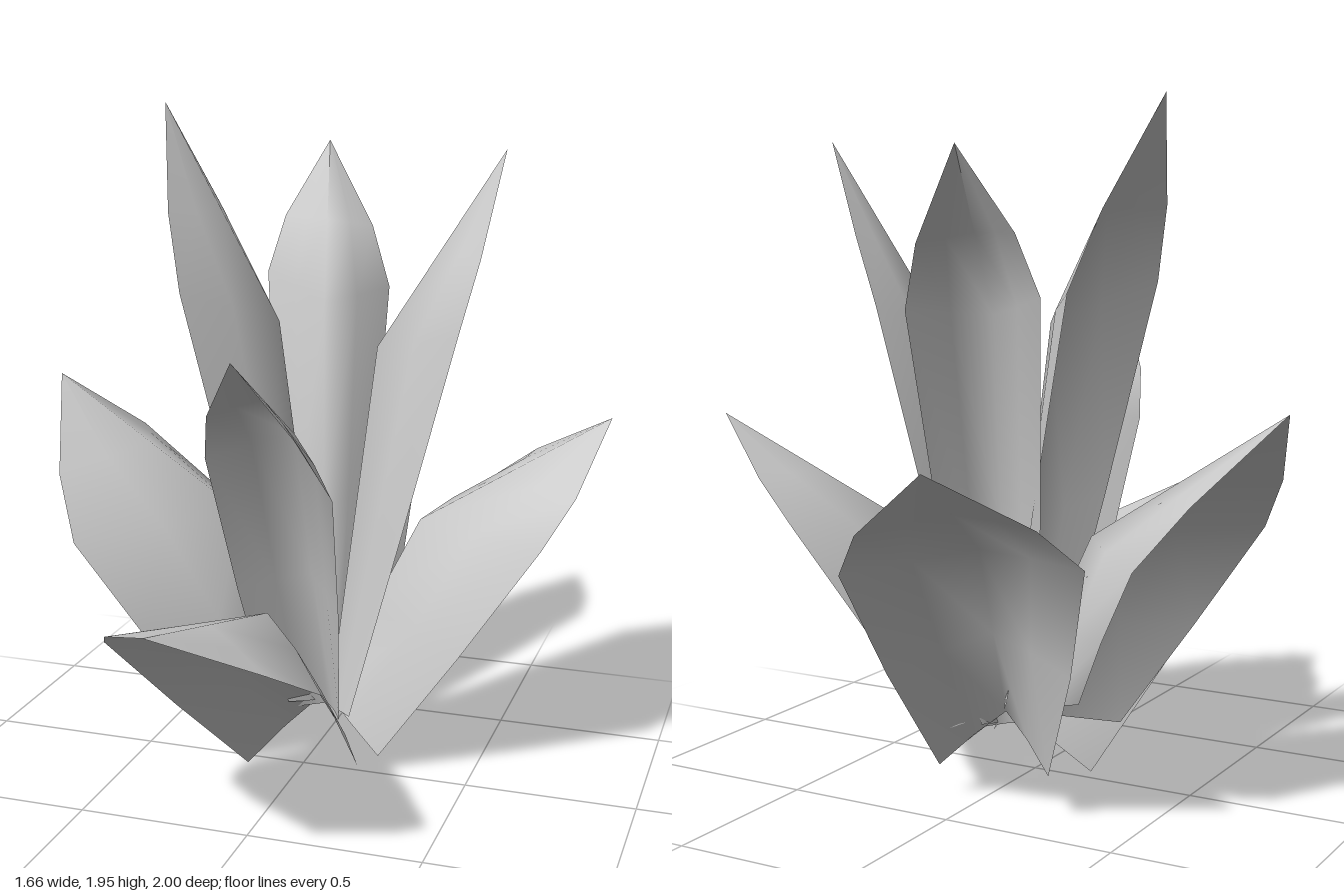
import * as THREE from 'three';

const V = (p) => new THREE.Vector3(...p);
const mix = (a, b, t) => a.clone().lerp(b, t);
const ACROSS = 4;

// A leaf is a folded blade, lofted from rows of [edge, ridge, edge] points
function leafGeometry(tipPoint, cornerA, cornerB, ridgePoint, baseA, baseB, root) {
  const [tip, ca, cb, ridge, ba, bb, rt] =
    [tipPoint, cornerA, cornerB, ridgePoint, baseA, baseB, root].map(V);
  const half = ca.clone().sub(cb).multiplyScalar(0.5);
  const swell = (p, k) => p.addScaledVector(half, k);

  const rows = [
    [ba, rt, bb],
    [swell(mix(ba, ca, 0.5), 0.04), mix(rt, ridge, 0.5), swell(mix(bb, cb, 0.5), -0.04)],
    [ca, ridge, cb],
    [swell(mix(ca, tip, 0.42), 0.14), mix(ridge, tip, 0.5), swell(mix(cb, tip, 0.42), -0.14)],
    [tip, tip, tip],
  ];

  const positions = [];
  const index = [];
  rows.forEach(([a, r, b], i) => {
    const lift = r.clone().sub(mix(a, b, 0.5));
    for (let j = 0; j <= ACROSS; j++) {
      const u = (2 * j) / ACROSS - 1;
      const p = mix(a, b, j / ACROSS).addScaledVector(lift, 1 - Math.abs(u) ** 1.15);
      positions.push(p.x, p.y, p.z);
      if (i === 0 || j === ACROSS) continue;
      const q = i * (ACROSS + 1) + j;
      const o = q - ACROSS - 1;
      index.push(o, o + 1, q);
      if (i < rows.length - 1) index.push(o + 1, q + 1, q);
    }
  });

  const g = new THREE.BufferGeometry();
  g.setAttribute('position', new THREE.Float32BufferAttribute(positions, 3));
  g.setIndex(index);
  g.computeVertexNormals();
  return g;
}

// Per leaf: tip, two widest corners, ridge, two base corners, root of the ridge
const LEAVES = {
  outerFrontLeaf: [[-0.08, 0.75, 1], [-0.36, 0.57, 0.62], [0.28, 0.53, 0.7],
    [0, 0.59, 0.32], [-0.16, 0, 0.05], [0.2, 0.06, 0.1], [0.03, 0.19, -0.08]],
  outerLeftLeaf: [[0.83, 1.05, -0.37], [0.7, 0.74, 0], [0.43, 0.78, -0.59],
    [0.3, 0.74, -0.2], [0.23, 0.05, -0.01], [0.11, 0.19, -0.35], [0.04, 0.2, -0.1]],
  outerBackLeaf: [[-0.25, 1.04, -1], [0.13, 0.72, -0.8], [-0.5, 0.77, -0.65],
    [-0.06, 0.74, -0.42], [0.12, 0.09, -0.34], [-0.24, 0.12, -0.36], [0.03, 0.2, -0.12]],
  outerRightLeaf: [[-0.83, 1.12, -0.14], [-0.57, 0.75, -0.53], [-0.59, 0.73, 0.31],
    [-0.24, 0.74, -0.11], [-0.28, 0.3, -0.26], [-0.22, 0.14, 0.12], [0.02, 0.2, -0.1]],
  innerFrontLeaf: [[-0.02, 1.34, 0.54], [-0.18, 1.02, 0.32], [0.2, 0.94, 0.36],
    [0.02, 1.06, 0.14], [-0.09, 0.17, 0.03], [0.13, 0.18, 0.06], [0.05, 0.17, -0.08]],
  innerLeftLeaf: [[0.52, 1.83, -0.25], [0.44, 1.33, -0.04], [0.29, 1.38, -0.38],
    [0.17, 1.26, -0.17], [0.13, 0.15, -0.04], [0.06, 0.18, -0.21], [0.05, 0.16, -0.1]],
  innerBackLeaf: [[-0.12, 1.81, -0.63], [0.11, 1.38, -0.51], [-0.26, 1.42, -0.44],
    [-0.03, 1.36, -0.29], [0.09, 0.16, -0.19], [-0.1, 0.2, -0.18], [0.03, 0.16, -0.1]],
  innerRightLeaf: [[-0.46, 1.95, -0.12], [-0.3, 1.43, -0.37], [-0.32, 1.44, 0.14],
    [-0.11, 1.33, -0.11], [-0.03, 0.26, -0.22], [-0.04, 0.2, 0.02], [0.05, 0.18, -0.1]],
};

export function createModel() {
  const group = new THREE.Group();
  group.name = 'leafyPlant';
  const material = new THREE.MeshStandardMaterial({ color: 0xcccccc, side: THREE.DoubleSide });
  for (const [name, points] of Object.entries(LEAVES)) {
    const leaf = new THREE.Mesh(leafGeometry(...points), material);
    leaf.name = name;
    group.add(leaf);
  }
  return group;
}
